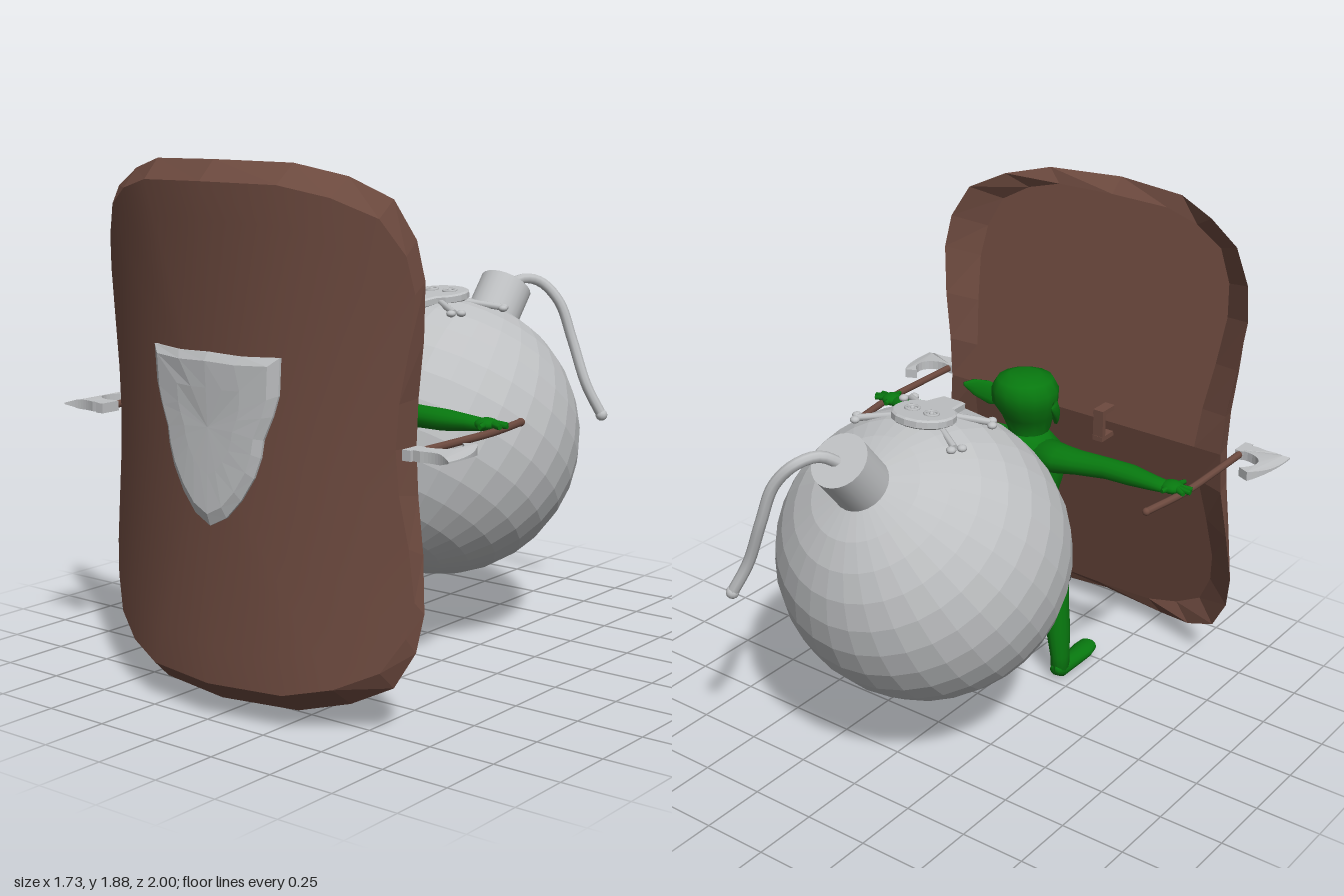
import * as THREE from 'three';

const V = (x, y, z) => new THREE.Vector3(x, y, z);
const mat = (name, color) => Object.assign(new THREE.MeshStandardMaterial({ color }), { name });

// Smooth skin over equal-length rings of points; ends may be closed with a fan
function skin(rings, capStart = true, capEnd = true) {
  const n = rings[0].length, pts = rings.flat(), idx = [];
  for (let r = 0; r < rings.length - 1; r++) for (let j = 0; j < n; j++) {
    const a = r * n + j, b = r * n + (j + 1) % n;
    idx.push(a, b, a + n, b, b + n, a + n);
  }
  const cap = (r, front) => {
    const c = pts.length;
    pts.push(rings[r].reduce((s, p) => s.add(p), V(0, 0, 0)).divideScalar(n));
    for (let j = 0; j < n; j++) {
      const a = r * n + j, b = r * n + (j + 1) % n;
      idx.push(c, front ? a : b, front ? b : a);
    }
  };
  if (capStart) cap(0, false);
  if (capEnd) cap(rings.length - 1, true);
  const g = new THREE.BufferGeometry().setFromPoints(pts);
  g.setIndex(idx);
  g.computeVertexNormals();
  return g;
}

// Elliptical sections [cx, cy, cz, ru, rv] stacked along an axis
const AXES = { x: [V(0, 1, 0), V(0, 0, 1)], y: [V(0, 0, 1), V(1, 0, 0)], z: [V(1, 0, 0), V(0, 1, 0)] };
function loft(axis, sections, sides = 14) {
  const [u, v] = AXES[axis];
  return skin(sections.map(([x, y, z, ru, rv]) => Array.from({ length: sides }, (_, j) => {
    const a = j / sides * Math.PI * 2;
    return V(x, y, z).addScaledVector(u, ru * Math.cos(a)).addScaledVector(v, rv * Math.sin(a));
  })));
}

function flat(g) {
  const f = g.index ? g.toNonIndexed() : g;
  f.computeVertexNormals();
  return f;
}

// Mirrored copy across x = 0 with corner order restored
function mirrored(geo) {
  const g = geo.index ? geo.toNonIndexed() : geo.clone();
  for (const key of ['position', 'normal']) {
    const a = g.attributes[key];
    for (let i = 0; i < a.count; i += 3) {
      const t = [0, 2, 1].map(k => [-a.getX(i + k), a.getY(i + k), a.getZ(i + k)]);
      t.forEach((p, k) => a.setXYZ(i + k, ...p));
    }
  }
  return g;
}

// Rod between two points
function rod(a, b, r0, r1 = r0, sides = 8) {
  const d = b.clone().sub(a);
  const g = new THREE.CylinderGeometry(r1, r0, d.length(), sides);
  g.applyQuaternion(new THREE.Quaternion().setFromUnitVectors(V(0, 1, 0), d.normalize()));
  const m = a.clone().add(b).multiplyScalar(0.5);
  return g.translate(m.x, m.y, m.z);
}
const ball = (x, y, z, rx, ry = rx, rz = rx) => new THREE.SphereGeometry(1, 12, 8).scale(rx, ry, rz).translate(x, y, z);
const tube = (pts, r, n = 24) => new THREE.TubeGeometry(new THREE.CatmullRomCurve3(pts), n, r, 8);

export function createModel() {
  const root = new THREE.Group();
  const silver = mat('silver', 0xbfc1c3), wood = mat('brownWood', 0x6d4a3f);
  const green = mat('greenSkin', 0x08780f), cloth = mat('darkCloth', 0x4a484a);
  const group = name => { const g = new THREE.Group(); g.name = name; root.add(g); return g; };
  const add = (parent, name, geo, m) => {
    const mesh = new THREE.Mesh(geo, m);
    mesh.name = name;
    parent.add(mesh);
  };
  const pair = (parent, name, geo, m) => {
    add(parent, name + 'Left', geo, m);
    add(parent, name + 'Right', mirrored(geo), m);
  };

  // Shield: waisted outline [x, height from waist, z], bowed front, back folded at the waist
  const shield = group('shield'), midY = 0.97;
  const frontZ = (x, y) => 0.958 - 0.5 * x * x + 0.037 * ((y - midY) / 0.84) ** 2;
  const backZ = (x, y) => 0.68 + 0.215 * Math.abs(y - midY);
  const q = [[0.64, 0, 0.68], [0.65, 0.16, 0.683], [0.68, 0.35, 0.695], [0.7, 0.54, 0.715], [0.68, 0.67, 0.733],
    [0.61, 0.796, 0.76], [0.47, 0.865, 0.81], [0.3, 0.905, 0.878], [0, 0.91, 0.925]];
  const top = [...q, ...q.slice(0, -1).reverse().map(([x, y, z]) => [-x, y, z])];
  const outline = [...top, ...top.slice(1, -1).reverse().map(([x, y, z]) => [x, -y, z])];
  const ring = (sx, sy, zf) => outline.map(([x, y, z]) => V(x * sx, midY + y * sy, zf(x * sx, midY + y * sy, z)));
  const frontRing = s => ring(0.97 * s, 0.925 * s, frontZ);
  add(shield, 'shieldBackAndRim', flat(skin([
    ring(0, 0.94, backZ), ring(0.82, 0.94, backZ), ring(1, 1, (x, y, z) => z), frontRing(1),
  ], false, false)), wood);
  add(shield, 'shieldFront', skin([1, 0.85, 0.7, 0.55, 0.4, 0.25, 0.1].map(frontRing), false), wood);

  // Raised emblem on the shield front
  const half = [[0, 0.67], [0.07, 0.705], [0.13, 0.77], [0.18, 0.85], [0.205, 0.92], [0.215, 0.98], [0.25, 1.06], [0.272, 1.13], [0.28, 1.255], [0.14, 1.25]];
  const badge = [...half, [0, 1.255], ...half.slice(1).reverse().map(([x, y]) => [-x, y])];
  const badgeRing = (s, lift) => badge.map(([x, y]) => {
    const px = x * s, py = 1.02 + (y - 1.02) * s;
    return V(px, py, frontZ(px, py) + lift);
  });
  add(shield, 'emblem', flat(skin([badgeRing(1, -0.03), badgeRing(1, 0.008), badgeRing(0.88, 0.024), badgeRing(0.5, 0.022)])), silver);

  // Grips on the shield back
  for (const x of [-0.13, 0.145]) {
    add(shield, 'gripBar', new THREE.BoxGeometry(0.045, 0.13, 0.02).translate(x, 0.975, 0.622), wood);
    for (const y of [0.92, 1.03])
      add(shield, 'gripPost', new THREE.BoxGeometry(0.045, 0.02, 0.09).translate(x, y, 0.655), wood);
  }

  // Bomb: faceted ball with tilted neck and fuse
  const bomb = group('bomb'), tilt = -0.69, cy = 0.782, cz = -0.323;
  add(bomb, 'bombBall', flat(new THREE.SphereGeometry(0.54, 32, 16).rotateX(tilt).translate(0, cy, cz)), silver);
  add(bomb, 'bombNeck', new THREE.CylinderGeometry(0.105, 0.105, 0.24, 24).translate(0, 0.58, 0).rotateX(tilt).translate(0, cy, cz), silver);
  add(bomb, 'fuse', tube([V(0, 1.3, -0.75), V(0.04, 1.345, -0.82), V(0.085, 1.33, -0.89), V(0.15, 1.25, -0.93),
    V(0.205, 1.1, -0.945), V(0.275, 0.92, -0.947), V(0.33, 0.8, -0.977)], 0.021, 32), silver);
  add(bomb, 'fuseTip', ball(0.33, 0.8, -0.977, 0.024), silver);

  // Skull and crossed bones on top of the bomb
  const skull = new THREE.Shape();
  skull.moveTo(-0.042, 0.12).lineTo(0.042, 0.12).lineTo(0.055, 0.04);
  skull.bezierCurveTo(0.14, 0.01, 0.13, -0.15, 0, -0.15);
  skull.bezierCurveTo(-0.13, -0.15, -0.14, 0.01, -0.055, 0.04);
  const skullGeo = new THREE.ExtrudeGeometry(skull, { depth: 0.022, bevelSize: 0.008, bevelThickness: 0.006, bevelSegments: 1, curveSegments: 8 });
  const lay = g => g.rotateX(Math.PI / 2).rotateX(0.1).translate(0, 1.33, -0.265);
  add(bomb, 'skull', lay(skullGeo), silver);
  for (const x of [-0.043, 0.043]) {
    add(bomb, 'eyeRing', lay(new THREE.TorusGeometry(0.024, 0.006, 6, 14).translate(x, -0.06, -0.007)), silver);
    add(bomb, 'eyeCentre', lay(new THREE.SphereGeometry(0.009, 8, 6).translate(x, -0.06, -0.007)), silver);
  }
  for (const [x, z] of [[0.225, -0.405], [0.185, -0.155], [-0.17, -0.155], [-0.2, -0.4]]) {
    add(bomb, 'bone', rod(V(0, 1.32, -0.28), V(x, 1.285, z), 0.013), silver);
    for (const k of [-1, 1]) {
      const side = V(-(z + 0.28), 0, x).normalize().multiplyScalar(0.02 * k);
      add(bomb, 'boneKnob', ball(x + side.x + Math.sign(x) * 0.01, 1.283, z + side.z, 0.018, 0.013, 0.018), silver);
    }
  }

  // Goblin body and head
  const goblin = group('goblin');
  add(goblin, 'torso', loft('y', [[0, 0.68, 0.31, 0.085, 0.12], [0, 0.74, 0.31, 0.092, 0.13], [0, 0.82, 0.31, 0.108, 0.145],
    [0, 0.91, 0.31, 0.122, 0.17], [0, 0.98, 0.31, 0.112, 0.16], [0, 1.035, 0.31, 0.085, 0.09]]), green);
  add(goblin, 'head', loft('y', [[0, 1, 0.31, 0.07, 0.07], [0, 1.04, 0.33, 0.085, 0.08], [0, 1.1, 0.32, 0.1, 0.1],
    [0, 1.16, 0.3, 0.122, 0.127], [0, 1.215, 0.3, 0.125, 0.13], [0, 1.255, 0.3, 0.108, 0.105], [0, 1.272, 0.3, 0.06, 0.06]]), green);
  add(goblin, 'nose', ball(0, 1.1, 0.42, 0.022, 0.03, 0.026), green);
  // Ears swept back and up to a point
  pair(goblin, 'ear', loft('z', [[0.202, 1.215, 0.185, 0.004, 0.008], [0.186, 1.19, 0.23, 0.012, 0.035],
    [0.155, 1.16, 0.28, 0.018, 0.05], [0.12, 1.13, 0.34, 0.014, 0.035]], 10), green);

  // Outstretched arms and gripping hands
  pair(goblin, 'arm', loft('x', [[0.08, 0.96, 0.3, 0.065, 0.085], [0.18, 0.972, 0.285, 0.053, 0.072], [0.26, 0.98, 0.285, 0.045, 0.058],
    [0.38, 0.985, 0.3, 0.04, 0.043], [0.48, 0.985, 0.305, 0.038, 0.047], [0.58, 0.985, 0.3, 0.028, 0.035], [0.63, 0.985, 0.3, 0.023, 0.03]]), green);
  pair(goblin, 'palm', ball(0.655, 0.99, 0.305, 0.045, 0.023, 0.042), green);
  for (const [x, z] of [[0.72, 0.275], [0.735, 0.3], [0.725, 0.33], [0.67, 0.37], [0.645, 0.25]])
    pair(goblin, 'finger', rod(V(0.66, 0.995, 0.305), V(x, 0.99, z), 0.016, 0.009, 6), green);

  // Shorts, legs and feet
  add(goblin, 'shortsSeat', loft('y', [[0, 0.51, 0.3, 0.07, 0.08], [0, 0.56, 0.295, 0.098, 0.145], [0, 0.64, 0.293, 0.108, 0.153], [0, 0.735, 0.31, 0.096, 0.137]]), cloth);
  pair(goblin, 'shortsLeg', loft('y', [[0.135, 0.438, 0.303, 0.076, 0.078], [0.115, 0.52, 0.298, 0.093, 0.088], [0.09, 0.6, 0.295, 0.098, 0.075]]), cloth);
  pair(goblin, 'leg', loft('y', [[0.185, 0.03, 0.305, 0.04, 0.035], [0.182, 0.1, 0.305, 0.043, 0.036], [0.17, 0.22, 0.305, 0.053, 0.046],
    [0.155, 0.32, 0.315, 0.05, 0.047], [0.14, 0.42, 0.315, 0.06, 0.056], [0.12, 0.52, 0.31, 0.065, 0.06]]), green);
  pair(goblin, 'foot', loft('z', [[0.185, 0.045, 0.265, 0.022, 0.02], [0.185, 0.038, 0.3, 0.036, 0.036], [0.185, 0.037, 0.38, 0.038, 0.032],
    [0.187, 0.045, 0.46, 0.045, 0.027], [0.187, 0.052, 0.505, 0.038, 0.022], [0.187, 0.052, 0.522, 0.02, 0.012]]), green);

  // Hand axes with crescent blades thinning to the edge
  const axes = group('axes');
  pair(axes, 'axeShaft', tube([V(0.665, 0.97, 0.115), V(0.695, 0.97, 0.32), V(0.698, 0.97, 0.55), V(0.695, 0.97, 0.78)], 0.014, 12), wood);
  pair(axes, 'axeShaftEnd', ball(0.665, 0.97, 0.115, 0.015), wood);
  const blade = new THREE.Shape();
  blade.moveTo(0.69, 0.73).lineTo(0.73, 0.73).bezierCurveTo(0.81, 0.72, 0.83, 0.65, 0.765, 0.6).lineTo(0.81, 0.58);
  blade.quadraticCurveTo(0.875, 0.67, 0.865, 0.815).quadraticCurveTo(0.81, 0.775, 0.74, 0.795).lineTo(0.69, 0.79);
  const bladeGeo = new THREE.ExtrudeGeometry(blade, { depth: 0.036, bevelEnabled: false, curveSegments: 10 }).translate(0, 0, -0.018).rotateX(Math.PI / 2);
  const bp = bladeGeo.attributes.position;
  for (let i = 0; i < bp.count; i++) bp.setY(i, 0.968 + bp.getY(i) * THREE.MathUtils.clamp((0.875 - bp.getX(i)) / 0.06, 0.1, 1));
  pair(axes, 'axeBlade', flat(bladeGeo), silver);
  pair(axes, 'axeSocket', new THREE.BoxGeometry(0.034, 0.036, 0.08).translate(0.694, 0.968, 0.765), silver);

  return root;
}
